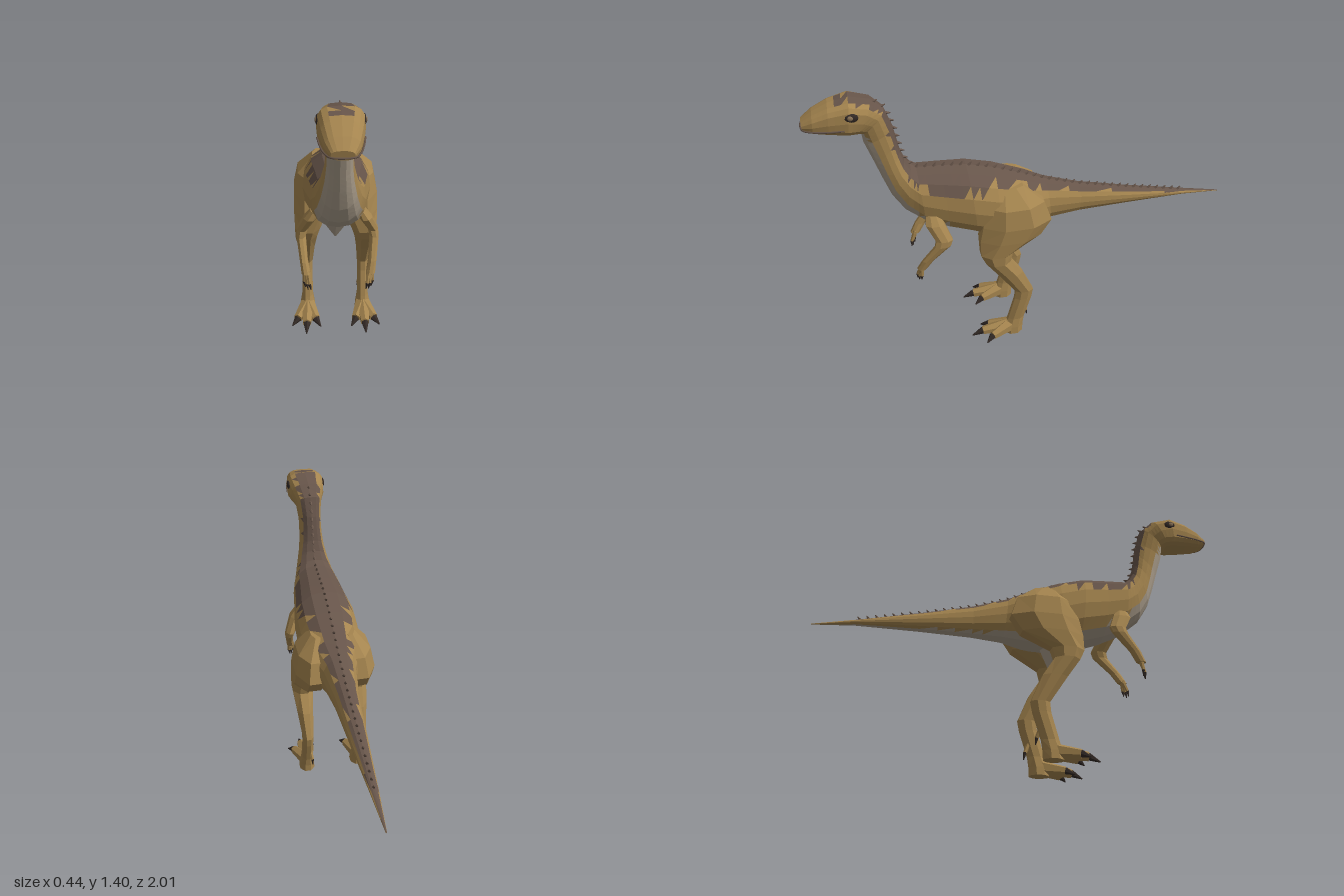
import * as THREE from 'three';

const mat = (name, color) => Object.assign(new THREE.MeshStandardMaterial({ color }), { name });
const V = (x, y, z) => new THREE.Vector3(x, y, z);

// Closed faceted skin through rings of points; pick(ringPos, columnPos) chooses a material index
function loft(rings, pick = () => 0) {
  const tris = [], n = rings[0].length;
  const add = (a, b, c, m) => tris.push({ p: [a, b, c], m });
  for (let i = 0; i < rings.length - 1; i++) {
    for (let j = 0; j < n; j++) {
      const k = (j + 1) % n, A = rings[i], B = rings[i + 1];
      add(A[j], A[k], B[k], pick(i + 0.33, j + 0.67));
      add(A[j], B[k], B[j], pick(i + 0.67, j + 0.33));
    }
  }
  [0, rings.length - 1].forEach((e) => {
    const r = rings[e], c = r.reduce((s, p) => s.add(p), V(0, 0, 0)).divideScalar(n);
    for (let j = 0; j < n; j++) {
      const k = (j + 1) % n, m = pick(e, j + 0.5);
      e ? add(r[j], r[k], c, m) : add(r[k], r[j], c, m);
    }
  });
  // Turn the faces outward when the enclosed volume is negative
  const vol = tris.reduce((s, t) => s + t.p[0].dot(t.p[1].clone().cross(t.p[2])), 0);
  if (vol < 0) tris.forEach((t) => t.p.reverse());
  tris.sort((a, b) => a.m - b.m);
  const geo = new THREE.BufferGeometry().setFromPoints(tris.flatMap((t) => t.p));
  for (let m = 0; m < 3; m++) {
    const start = tris.findIndex((t) => t.m === m);
    if (start >= 0) geo.addGroup(start * 3, tris.filter((t) => t.m === m).length * 3, m);
  }
  geo.computeVertexNormals();
  return geo;
}

// Limb of horizontal rings: [x, y, z, halfWidth, halfDepth]
function limb(rows, s, sides = 8) {
  return loft(rows.map(([x, y, z, rx, rz]) => Array.from({ length: sides }, (_, j) => {
    const a = ((j + 0.5) / sides) * Math.PI * 2;
    return V(s * (x + rx * Math.cos(a)), y, z + rz * Math.sin(a));
  })));
}

// Straight tapered rod between two points
function taper(a, b, r0, r1, sides = 6) {
  const d = b.clone().sub(a).normalize();
  const u = V(1, 0, 0).cross(d).normalize();
  const w = d.clone().cross(u);
  return loft([[a, r0], [b, r1]].map(([c, r]) => Array.from({ length: sides }, (_, j) => {
    const t = (j / sides) * Math.PI * 2;
    return c.clone().addScaledVector(u, r * Math.cos(t)).addScaledVector(w, r * Math.sin(t));
  })));
}

// Tail to snout: [topZ, topY, bottomZ, bottomY, halfWidth]
const SECTIONS = [
  [-1, 0.622, -1, 0.618, 0.003],
  [-0.8, 0.66, -0.8, 0.635, 0.02],
  [-0.5, 0.725, -0.5, 0.635, 0.043],
  [-0.25, 0.785, -0.25, 0.63, 0.06],
  [-0.08, 0.84, -0.1, 0.62, 0.085],
  [0.02, 0.885, 0, 0.6, 0.13],
  [0.17, 0.945, 0.17, 0.58, 0.155],
  [0.3, 0.98, 0.27, 0.615, 0.155],
  [0.42, 0.992, 0.4, 0.66, 0.135],
  [0.53, 1.0, 0.51, 0.715, 0.12],
  [0.555, 1.02, 0.6, 0.79, 0.1],
  [0.58, 1.06, 0.655, 0.88, 0.082],
  [0.595, 1.11, 0.69, 0.98, 0.066],
  [0.605, 1.17, 0.715, 1.06, 0.058],
  [0.615, 1.235, 0.75, 1.17, 0.056],
  [0.645, 1.33, 0.755, 1.225, 0.065],
  [0.7, 1.38, 0.775, 1.235, 0.085],
  [0.79, 1.403, 0.81, 1.24, 0.094],
  [0.88, 1.383, 0.89, 1.25, 0.083],
  [0.95, 1.35, 0.955, 1.26, 0.068],
  [1.0, 1.315, 0.995, 1.275, 0.045],
];
// Values keyed by section number: colour limits in degrees, and how boxy a section is
const BACK = [[0, 50], [4, 40], [5.5, 30], [7, 58], [8, 66], [11, 43], [14, 50], [17, 22], [18, 0], [20, 0]];
const BELLY = [[0, 20], [4, 40], [7, 45], [11, 72], [13, 72], [14.9, 50], [15, 0], [20, 0]];
const ROUND = [[0, 1], [4, 0.9], [14, 0.9], [17, 0.6], [20, 0.8]];
const SIDES = 16, SUB = 3;

function keyed(keys, u) {
  const i = Math.max(1, keys.findIndex((k) => k[0] >= u));
  const [a, va] = keys[i - 1], [b, vb] = keys[i];
  return va + ((vb - va) * (u - a)) / (b - a);
}

function bodyGeometry() {
  const last = SECTIONS.length - 1;
  const bend = (v, e) => Math.sign(v) * Math.abs(v) ** e;
  const rings = Array.from({ length: last * SUB + 1 }, (_, r) => {
    const u = r / SUB, i = Math.min(Math.floor(u), last - 1), e = keyed(ROUND, u);
    const [tz, ty, bz, by, w] = SECTIONS[i].map((v, q) => v + (SECTIONS[i + 1][q] - v) * (u - i));
    return Array.from({ length: SIDES }, (_, j) => {
      const a = (j / SIDES) * Math.PI * 2, c = bend(Math.cos(a), e);
      return V(w * bend(Math.sin(a), e), (ty + by) / 2 + (c * (ty - by)) / 2, (tz + bz) / 2 + (c * (tz - bz)) / 2);
    });
  });
  // Ragged dark back, pale underside
  return loft(rings, (i, j) => {
    const u = i / SUB, back = keyed(BACK, u);
    const a = (Math.min(j, SIDES - j) / SIDES) * 360;
    if (back > 0 && a < back + 7 * Math.sin(i * 2.3)) return 1;
    return 180 - a < keyed(BELLY, u) ? 2 : 0;
  });
}

export function createModel() {
  const model = new THREE.Group();
  model.name = 'dinosaur';
  const tan = mat('tan hide', 0xa5854f), brown = mat('brown back', 0x67554a);
  const pale = mat('pale belly', 0xa99c8a), dark = mat('dark claw', 0x332a26);
  const amber = mat('eye amber', 0x8a7358);
  const put = (parent, name, geo, m) => {
    const mesh = new THREE.Mesh(geo, m);
    mesh.name = name;
    parent.add(mesh);
    return mesh;
  };

  put(model, 'body', bodyGeometry(), [tan, brown, pale]);
  put(model, 'pelvisPoint', taper(V(0, 0.62, 0.17), V(0, 0.455, 0.15), 0.1, 0.004), pale);

  // Row of small spines from tail to nape
  const ridge = new THREE.CurvePath();
  const tops = SECTIONS.slice(1, 17).map((s) => V(0, s[1], s[0]));
  tops.slice(1).forEach((p, i) => ridge.add(new THREE.LineCurve3(tops[i], p)));
  const spines = new THREE.Group();
  spines.name = 'spines';
  model.add(spines);
  for (let i = 0; i < 44; i++) {
    const t = (i + 0.5) / 44, p = ridge.getPoint(t), d = ridge.getTangent(t);
    const n = V(0, d.z, -d.y).addScaledVector(d, -0.5).normalize();
    const tip = p.clone().addScaledVector(n, 0.019);
    put(spines, 'spine', taper(p.addScaledVector(n, -0.005), tip, 0.009, 0.002, 5), brown);
  }

  // Mouth line around the snout
  const half = [[0.091, 1.287, 0.82], [0.082, 1.285, 0.89], [0.067, 1.285, 0.955], [0.043, 1.287, 0.997]];
  const lips = [...half, ...half.map(([x, y, z]) => [-x, y, z]).reverse()].map((p) => V(...p));
  put(model, 'mouth', new THREE.TubeGeometry(new THREE.CatmullRomCurve3(lips), 30, 0.004, 5), brown);

  for (const s of [1, -1]) {
    const side = s > 0 ? 'left' : 'right';
    const P = (x, y, z) => V(s * x, y, z);

    // Eye with dark surround
    const patch = put(model, side + 'EyePatch', new THREE.SphereGeometry(1, 10, 6), dark);
    patch.position.set(s * 0.088, 1.345, 0.785);
    patch.scale.set(0.009, 0.021, 0.03);
    const eye = put(model, side + 'Eye', new THREE.SphereGeometry(1, 10, 6), amber);
    eye.position.set(s * 0.091, 1.347, 0.79);
    eye.scale.set(0.009, 0.013, 0.015);

    // Hind leg: thigh, shin and long ankle
    const leg = new THREE.Group();
    leg.name = side + 'Leg';
    model.add(leg);
    put(leg, 'thighAndShin', limb([
      [0.08, 0.88, 0.11, 0.03, 0.07], [0.1, 0.8, 0.09, 0.085, 0.15], [0.11, 0.7, 0.085, 0.095, 0.18],
      [0.115, 0.62, 0.12, 0.09, 0.16], [0.135, 0.54, 0.19, 0.064, 0.085], [0.142, 0.49, 0.185, 0.056, 0.066],
      [0.142, 0.4, 0.125, 0.044, 0.064], [0.14, 0.27, 0.055, 0.03, 0.048], [0.14, 0.22, 0.062, 0.028, 0.046],
      [0.14, 0.09, 0.1, 0.029, 0.044], [0.14, 0.04, 0.112, 0.038, 0.048], [0.14, 0, 0.115, 0.042, 0.05],
    ], s), tan);
    const toes = [
      [[0.145, 0.027, 0.275], [0.147, 0.004, 0.33]],
      [[0.1, 0.024, 0.235], [0.076, 0.004, 0.275]],
      [[0.19, 0.024, 0.23], [0.218, 0.004, 0.265]],
    ];
    for (const [end, tip] of toes) {
      put(leg, 'toe', taper(P(0.14, 0.04, 0.13), P(...end), 0.039, 0.022), tan);
      put(leg, 'toeClaw', taper(P(...end), P(...tip), 0.019, 0.003), dark);
    }
    put(leg, 'rearToe', taper(P(0.13, 0.16, 0.065), P(0.12, 0.105, 0.042), 0.013, 0.009), tan);
    put(leg, 'rearClaw', taper(P(0.12, 0.108, 0.043), P(0.12, 0.072, 0.036), 0.009, 0.002), dark);

    // Arm with three clawed fingers
    const arm = new THREE.Group();
    arm.name = side + 'Arm';
    model.add(arm);
    put(arm, 'armSegments', limb([
      [0.1, 0.79, 0.48, 0.022, 0.035], [0.122, 0.75, 0.475, 0.03, 0.047], [0.157, 0.675, 0.44, 0.025, 0.042],
      [0.163, 0.645, 0.45, 0.022, 0.04], [0.152, 0.56, 0.525, 0.019, 0.028], [0.143, 0.51, 0.555, 0.021, 0.024],
    ], s), tan);
    for (const [x, y, z] of [[0.128, 0.465, 0.577], [0.152, 0.47, 0.56], [0.14, 0.462, 0.57]]) {
      put(arm, 'finger', taper(P(x * 0.5 + 0.071, 0.52, 0.555), P(x, y, z), 0.012, 0.008), tan);
      put(arm, 'fingerClaw', taper(P(x, y, z), P(x - 0.006, y - 0.03, z + 0.002), 0.008, 0.002), dark);
    }
  }
  return model;
}
